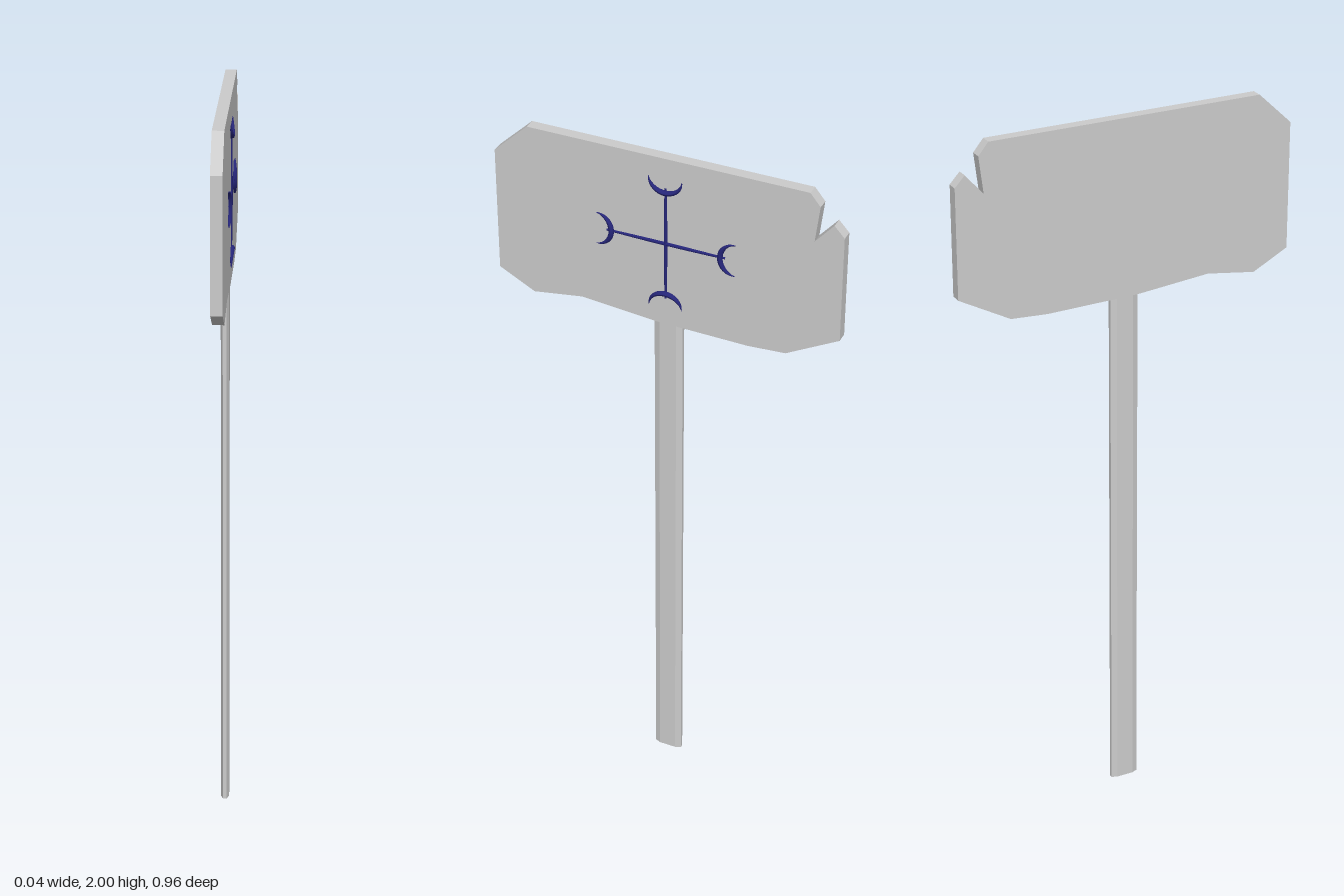
import * as THREE from 'three';

const grey = new THREE.MeshStandardMaterial({ color: 0xcccccc, flatShading: true });
const navy = new THREE.MeshStandardMaterial({ color: 0x26267a });

function add(parent, geometry, material, name) {
  const mesh = new THREE.Mesh(geometry, material);
  mesh.name = name;
  parent.add(mesh);
  return mesh;
}

const shapeOf = pts => new THREE.Shape(pts.map(p => new THREE.Vector2(...p)));

// Tube that thins towards both ends
function taperedStroke(curve, radius, endScale, segments) {
  const sides = 8;
  const geo = new THREE.TubeGeometry(curve, segments, radius, sides);
  const pos = geo.attributes.position;
  const v = new THREE.Vector3();
  for (let i = 0; i < pos.count; i++) {
    const t = Math.floor(i / (sides + 1)) / segments;
    const k = endScale + (1 - endScale) * Math.sin(Math.PI * t);
    const c = curve.getPointAt(t);
    v.fromBufferAttribute(pos, i).sub(c).multiplyScalar(k).add(c);
    pos.setXYZ(i, v.x, v.y, v.z);
  }
  geo.computeVertexNormals();
  return geo;
}

export function createModel() {
  const model = new THREE.Group();
  model.name = 'signpost';

  // Worn board with clipped corners and a notch, outline as [-z, y]
  const outline = [
    [-0.385, 2], [-0.48, 1.91], [-0.48, 1.555], [-0.38, 1.503], [-0.24, 1.525],
    [-0.03, 1.507], [0.23, 1.503], [0.335, 1.51], [0.48, 1.59], [0.48, 1.893],
    [0.452, 1.923], [0.402, 1.865], [0.414, 1.966], [0.386, 2],
  ];
  const board = new THREE.ExtrudeGeometry(shapeOf(outline), { depth: 0.031, bevelEnabled: false });
  board.rotateY(Math.PI / 2).translate(-0.022, 0, 0);
  add(model, board, grey, 'board');

  // Flat post with chamfered edges, plan as [x, -z]
  const plan = [
    [-0.011, -0.036], [-0.001, -0.036], [0.005, -0.02], [0.005, 0.028],
    [-0.001, 0.044], [-0.011, 0.044], [-0.017, 0.028], [-0.017, -0.02],
  ];
  const post = new THREE.ExtrudeGeometry(shapeOf(plan), { depth: 1.52, bevelEnabled: false });
  post.rotateX(-Math.PI / 2);
  add(model, post, grey, 'post');

  // Raised cross with a crescent at each end, on the board's left face
  const emblem = new THREE.Group();
  emblem.name = 'emblem';
  emblem.position.set(0.009, 1.752, 0);
  model.add(emblem);

  const barPath = new THREE.LineCurve3(new THREE.Vector3(0, -0.165, 0), new THREE.Vector3(0, 0.165, 0));
  const bar = taperedStroke(barPath, 0.005, 0.6, 16);
  const arc = [];
  for (let i = 0; i <= 12; i++) {
    const a = Math.PI * (1 + i / 12);
    arc.push(new THREE.Vector3(0.003, 0.193 + 0.042 * Math.sin(a), 0.046 * Math.cos(a)));
  }
  const crescent = taperedStroke(new THREE.CatmullRomCurve3(arc), 0.0075, 0.08, 24);

  for (let i = 0; i < 2; i++) {
    add(emblem, bar, navy, i ? 'crossBar' : 'uprightBar').rotation.x = i * Math.PI / 2;
  }
  for (let i = 0; i < 4; i++) {
    add(emblem, crescent, navy, 'crescent').rotation.x = i * Math.PI / 2;
  }
  return model;
}
